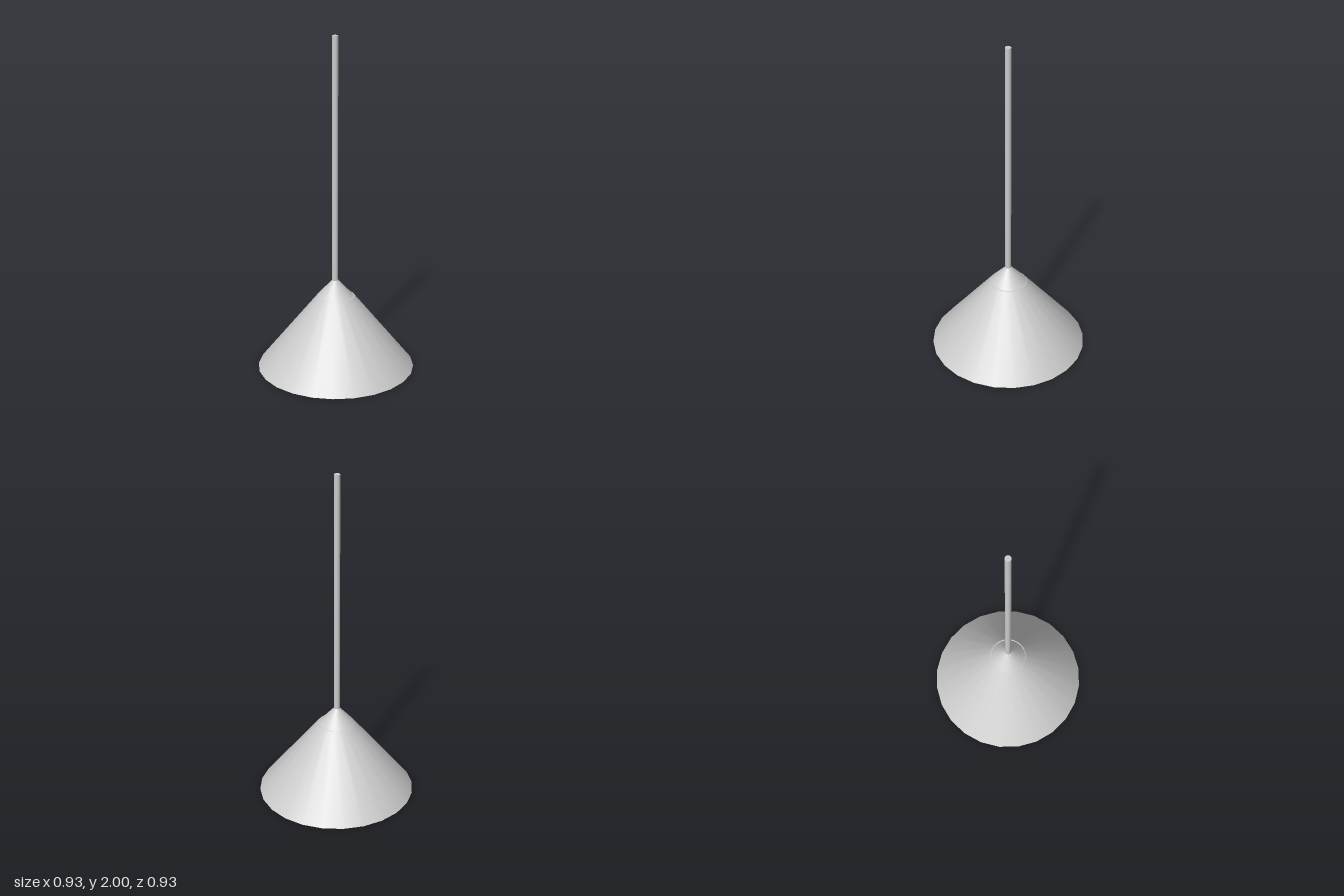
import * as THREE from 'three';

const SIDES = 24;

export function createModel() {
  const group = new THREE.Group();
  const smooth = new THREE.MeshStandardMaterial({ color: 0xcccccc });
  const faceted = new THREE.MeshStandardMaterial({ color: 0xcccccc, flatShading: true });

  const add = (name, geometry, x, y, z, material = smooth) => {
    const mesh = new THREE.Mesh(geometry, material);
    mesh.name = name;
    mesh.position.set(x, y, z);
    group.add(mesh);
  };
  const lathe = (points) =>
    new THREE.LatheGeometry(points.map(([r, y]) => new THREE.Vector2(r, y)), SIDES);

  // Conical shade: smooth outside, faceted inside with a flat ceiling
  add('shadeOuter', lathe([[0.466, 0], [0.111, 0.445]]), 0, 0, 0);
  add('shadeTop', lathe([[0.111, 0.445], [0, 0.445]]), 0, 0, 0);
  add('shadeRim', lathe([[0.433, 0], [0.466, 0]]), 0, 0, 0);
  add('shadeInner', lathe([[0, 0.28], [0.217, 0.28], [0.433, 0]]), 0, 0, 0, faceted);

  // Small cone cap and the long hanging rod
  add('cap', new THREE.CylinderGeometry(0.018, 0.108, 0.1, SIDES), -0.003, 0.495, -0.002);
  add('rod', new THREE.CylinderGeometry(0.018, 0.018, 1.47, SIDES), -0.004, 1.265, -0.002);

  // Lamp socket and round bulb under the ceiling
  add('socket', new THREE.CylinderGeometry(0.044, 0.044, 0.16, SIDES), 0, 0.21, 0);
  add('bulb', new THREE.SphereGeometry(0.07, 24, 16), 0, 0.1, 0);

  return group;
}
